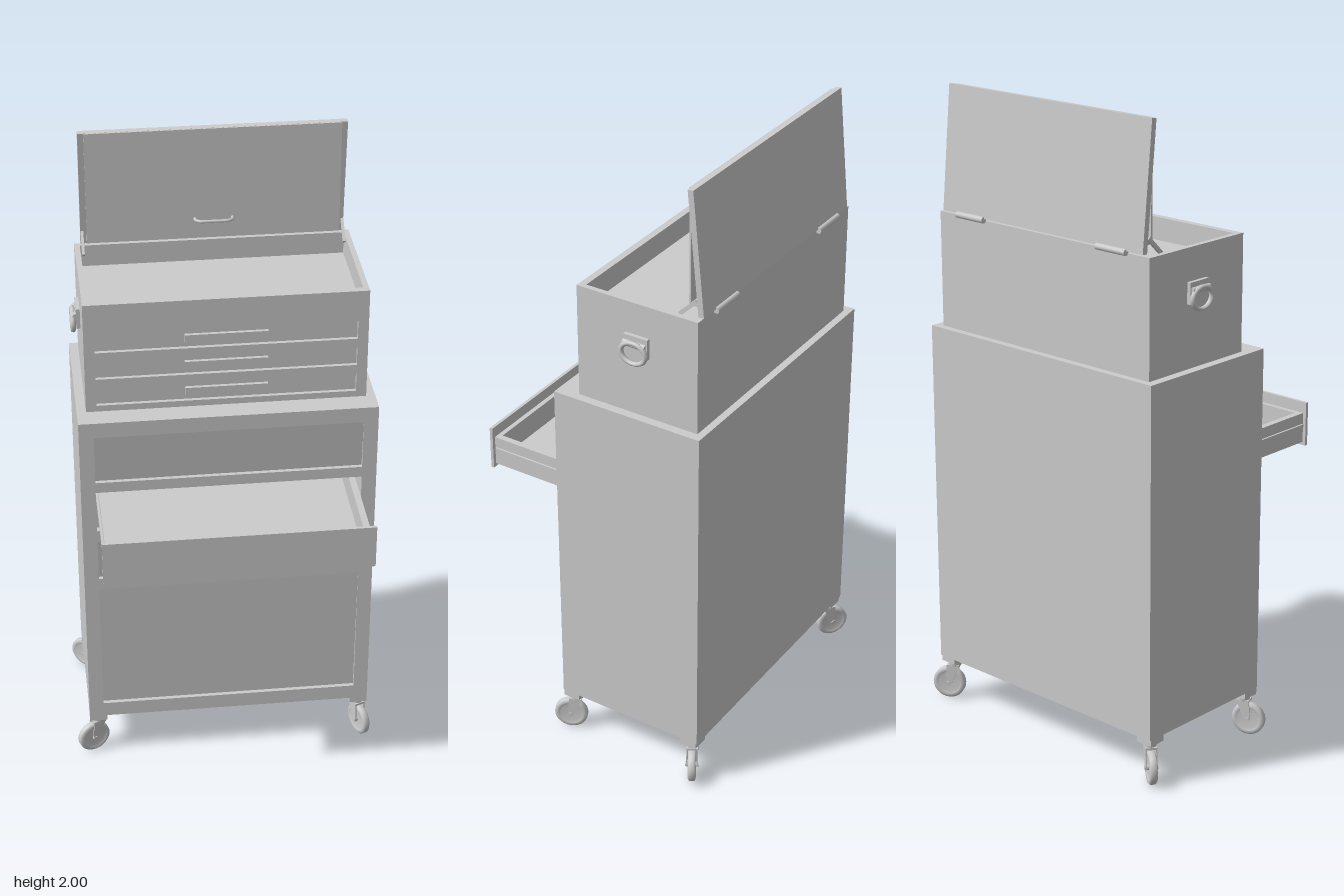
import * as THREE from 'three';

const grey = new THREE.MeshStandardMaterial({ color: 0xcccccc, side: THREE.DoubleSide });

export function createModel() {
  const root = new THREE.Group();

  const add = (name, geometry, parent = root) => {
    const mesh = new THREE.Mesh(geometry, grey);
    mesh.name = name;
    parent.add(mesh);
    return mesh;
  };
  // Box given by its extents on each axis
  const box = (name, x0, x1, y0, y1, z0, z1, parent = root) => {
    const mesh = add(name, new THREE.BoxGeometry(x1 - x0, y1 - y0, z1 - z0), parent);
    mesh.position.set((x0 + x1) / 2, (y0 + y1) / 2, (z0 + z1) / 2);
    return mesh;
  };
  const rect = (target, w, y0, y1) => {
    target.moveTo(-w, y0);
    target.lineTo(w, y0);
    target.lineTo(w, y1);
    target.lineTo(-w, y1);
    target.closePath();
    return target;
  };
  // Front plate with one opening per drawer
  const frontFrame = (name, w, y0, y1, holeW, rows, z0, z1, parent) => {
    const shape = rect(new THREE.Shape(), w, y0, y1);
    rows.forEach(([a, b]) => shape.holes.push(rect(new THREE.Path(), holeW, a, b)));
    const geo = new THREE.ExtrudeGeometry(shape, { depth: z1 - z0, bevelEnabled: false });
    geo.translate(0, 0, z0);
    return add(name, geo, parent);
  };
  const group = (name, parent = root) => {
    const g = new THREE.Group();
    g.name = name;
    parent.add(g);
    return g;
  };

  // Lower cabinet: open shell behind a front frame
  const cabinet = group('cabinet');
  const W = 0.453;
  const rows = [[1.045, 1.205], [0.87, 1.01], [0.69, 0.83], [0.2, 0.65]];
  frontFrame('cabinetFrontFrame', W, 0.15, 1.255, 0.408, rows, 0.1, 0.12, cabinet);
  box('cabinetTop', -W, W, 1.235, 1.255, -0.378, 0.1, cabinet);
  box('cabinetBottom', -W, W, 0.15, 0.17, -0.378, 0.1, cabinet);
  box('cabinetBack', -W, W, 0.17, 1.235, -0.378, -0.36, cabinet);
  for (const s of [-1, 1]) {
    const side = box('cabinetSide', -0.01, 0.01, 0.17, 1.235, -0.36, 0.1, cabinet);
    side.position.x = s * (W - 0.01);
  }
  // Closed drawer fronts lean inward at the bottom to leave a finger grip
  rows.forEach(([a, b], i) => {
    if (i === 1) return;
    const panel = box('closedDrawerFront', -0.408, 0.408, a, b, 0.103, 0.113, cabinet);
    panel.rotation.x = Math.atan(0.012 / (b - a));
  });

  // Pulled-out drawer
  const drawer = group('openDrawer');
  box('drawerFront', -0.408, 0.408, 0.87, 1.01, 0.39, 0.4, drawer);
  box('drawerFloor', -0.397, 0.397, 0.88, 0.9, -0.08, 0.39, drawer);
  box('drawerInnerFront', -0.377, 0.377, 0.9, 0.975, 0.375, 0.39, drawer);
  box('drawerBack', -0.377, 0.377, 0.9, 0.975, -0.08, -0.065, drawer);
  for (const s of [-1, 1]) {
    box('drawerSide', -0.01, 0.01, 0.9, 0.975, -0.08, 0.39, drawer).position.x = s * 0.387;
    box('drawerSlide', -0.003, 0.003, 0.915, 0.94, -0.08, 0.385, drawer).position.x = s * 0.4;
  }

  // Top chest with a shallow open tray
  const chest = group('topChest');
  const C = 0.425;
  const slots = [[1.455, 1.515], [1.365, 1.425], [1.275, 1.335]];
  box('chestBody', -C, C, 1.255, 1.545, -0.355, 0.038, chest);
  frontFrame('chestFrontFrame', C, 1.255, 1.615, 0.393, slots, 0.038, 0.05, chest);
  box('trayFrontRim', -0.408, 0.408, 1.545, 1.615, 0.028, 0.038, chest);
  box('trayBackRim', -0.408, 0.408, 1.545, 1.615, -0.355, -0.338, chest);
  for (const s of [-1, 1]) {
    box('traySideRim', -0.0085, 0.0085, 1.545, 1.615, -0.355, 0.038, chest).position.x = s * 0.4165;
  }
  slots.forEach(([a, b]) => {
    const y = (a + b) / 2;
    box('chestDrawerHandle', -0.125, 0.125, y - 0.013, y + 0.013, 0.038, 0.049, chest);
  });

  // Carrying handles on the chest sides
  for (const s of [-1, 1]) {
    const carry = group('carryHandle', chest);
    box('handlePlate', -0.006, 0.006, 1.45, 1.515, -0.195, -0.115, carry).position.x = s * 0.431;
    const ring = add('handleRing', new THREE.TorusGeometry(0.041, 0.008, 8, 24), carry);
    ring.scale.set(1, 0.8, 1);
    ring.rotation.y = Math.PI / 2;
    ring.position.set(s * 0.446, 1.465, -0.153);
    const pin = add('handlePin', new THREE.CylinderGeometry(0.01, 0.01, 0.075, 10), carry);
    pin.rotation.x = Math.PI / 2;
    pin.position.set(s * 0.438, 1.49, -0.153);
  }

  // Raised lid: leaning outer panel and upright inner sheet
  const lid = group('lid');
  const panel = add('lidOuterPanel', new THREE.BoxGeometry(0.81, 0.38, 0.018), lid);
  panel.rotation.x = 0.097;
  panel.position.set(0, 1.81, -0.334);
  box('lidInnerSheet', -0.387, 0.387, 1.645, 1.998, -0.307, -0.302, lid);
  box('lidBottomLip', -0.387, 0.387, 1.64, 1.647, -0.34, -0.302, lid);
  const grip = new THREE.CatmullRomCurve3(
    [[-0.058, -0.304], [-0.056, -0.288], [-0.04, -0.278], [0.04, -0.278], [0.056, -0.288], [0.058, -0.304]]
      .map(([x, z]) => new THREE.Vector3(x, 1.705, z)), false, 'catmullrom', 0.1);
  add('lidHandle', new THREE.TubeGeometry(grip, 30, 0.005, 8), lid);
  for (const s of [-1, 1]) {
    const stay = add('lidStay', new THREE.BoxGeometry(0.008, 0.075, 0.012), lid);
    stay.position.set(s * 0.4, 1.638, -0.307);
    stay.rotation.x = -0.8;
    const hinge = add('hinge', new THREE.CylinderGeometry(0.01, 0.01, 0.113, 12), lid);
    hinge.rotation.z = Math.PI / 2;
    hinge.position.set(s * 0.286, 1.618, -0.362);
  }

  // Swivel casters, each turned its own way: x, z, rolling direction x, z
  const casters = [
    [-0.425, -0.345, -0.8, -0.6], [0.425, -0.345, 0.86, -0.5],
    [-0.425, 0.09, -0.93, 0.37], [0.425, 0.09, 0.4, 0.92],
  ];
  for (const [x, z, dx, dz] of casters) {
    const plate = box('casterPlate', -0.028, 0.028, 0.13, 0.15, -0.028, 0.028);
    plate.position.set(x, 0.14, z);
    const caster = group('caster');
    caster.position.set(x, 0, z);
    caster.rotation.y = Math.atan2(dx, dz);
    const swivel = add('casterSwivel', new THREE.CylinderGeometry(0.02, 0.02, 0.018, 16), caster);
    swivel.position.y = 0.122;
    box('forkCrown', -0.018, 0.018, 0.11, 0.117, -0.018, 0.022, caster);
    const wheel = add('casterWheel', new THREE.LatheGeometry(
      [[0, -0.008], [0.034, -0.008], [0.038, -0.012], [0.047, -0.012], [0.053, -0.007],
        [0.053, 0.007], [0.047, 0.012], [0.038, 0.012], [0.034, 0.008], [0, 0.008]]
        .map(([r, h]) => new THREE.Vector2(r, h)), 28), caster);
    wheel.rotation.z = Math.PI / 2;
    wheel.position.set(0, 0.053, 0.018);
    const axle = add('casterAxle', new THREE.CylinderGeometry(0.008, 0.008, 0.042, 10), caster);
    axle.rotation.z = Math.PI / 2;
    axle.position.copy(wheel.position);
    // Tapered fork arms
    const arm = new THREE.Shape([[-0.018, 0.115], [0.022, 0.115], [0.028, 0.05], [0.018, 0.043], [0.008, 0.05]]
      .map(([u, v]) => new THREE.Vector2(-u, v)));
    for (const s of [-1, 1]) {
      const leg = add('forkArm', new THREE.ExtrudeGeometry(arm, { depth: 0.004, bevelEnabled: false }), caster);
      leg.rotation.y = Math.PI / 2;
      leg.position.x = s * 0.016 - 0.002;
    }
  }
  return root;
}
